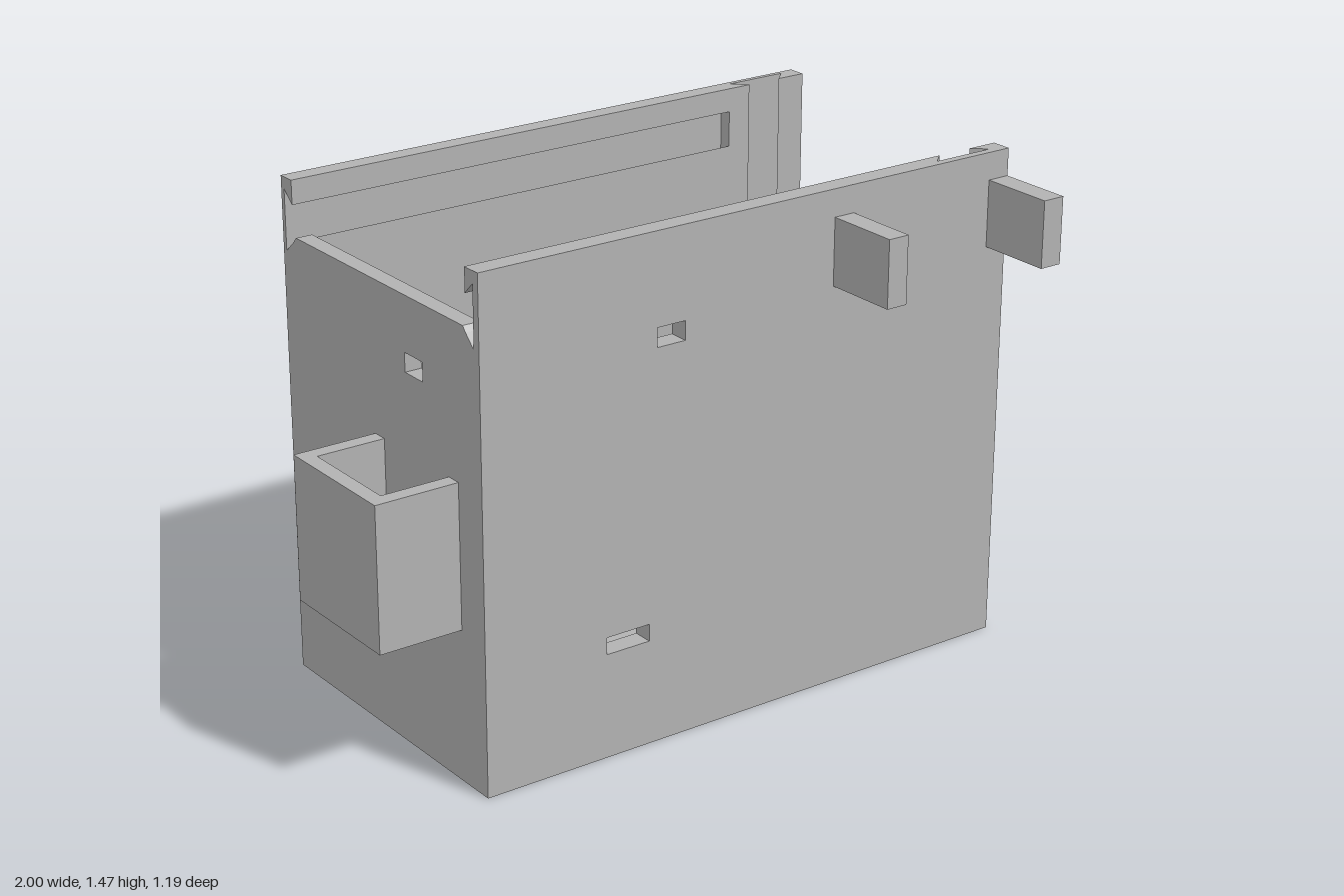
import * as THREE from 'three';

const X0 = -0.75, X1 = 1, TOP = 1.47, FLOOR = 0.06;
const FRONT = { inner: 0.31, deep: 0.346, outer: 0.37 };
const BACK = { inner: -0.54, deep: -0.58, outer: -0.595 };

export function createModel() {
  const model = new THREE.Group();
  const grey = new THREE.MeshStandardMaterial({ color: 0xb2b2b2 });
  grey.name = 'grey plastic';

  const add = (name, geometry) => {
    const mesh = new THREE.Mesh(geometry, grey);
    mesh.name = name;
    model.add(mesh);
    return mesh;
  };
  const box = (name, x0, x1, y0, y1, z0, z1) =>
    add(name, new THREE.BoxGeometry(x1 - x0, y1 - y0, z1 - z0)
      .translate((x0 + x1) / 2, (y0 + y1) / 2, (z0 + z1) / 2));
  const path = (pts, Kind = THREE.Shape) => new Kind(pts.map(p => new THREE.Vector2(...p)));
  const rect = (x0, x1, y0, y1) => [[x0, y0], [x1, y0], [x1, y1], [x0, y1]];
  const extrude = (pts, holes, depth) => {
    const shape = path(pts);
    shape.holes = holes.map(h => path(rect(...h), THREE.Path));
    return new THREE.ExtrudeGeometry(shape, { depth, bevelEnabled: false });
  };

  // Layer of a wall whose edges spread or shrink at the bottom of the grooves
  const layer = (name, pts, holes, zA, zB, moveX = {}, moveY = {}) => {
    const g = extrude(pts, holes, Math.abs(zB - zA)).translate(0, 0, Math.min(zA, zB));
    const p = g.attributes.position;
    const shift = (v, moves) => {
      for (const [from, to] of Object.entries(moves)) if (Math.abs(v - from) < 1e-4) return to;
      return v;
    };
    for (let i = 0; i < p.count; i++) {
      if (Math.abs(p.getZ(i) - zB) < 1e-4) {
        p.setXY(i, shift(p.getX(i), moveX), shift(p.getY(i), moveY));
      }
    }
    g.computeVertexNormals();
    add(name, g);
  };

  // Side wall with a vertical dovetail groove and a sliding-lid slot inside
  const wall = (name, z, holes) => {
    layer(name + 'Panel', rect(X0, X1, FLOOR, TOP), holes, z.deep, z.outer);
    layer(name + 'Lining', [
      [X0, FLOOR], [0.8, FLOOR], [0.8, TOP], [X0, TOP],
      [X0, 1.4], [0.727, 1.4], [0.727, 1.295], [X0, 1.295],
    ], holes, z.inner, z.deep, { 0.8: 0.76 }, { 1.4: 1.435, 1.295: 1.26 });
    layer(name + 'EdgeStrip', rect(0.91, X1, FLOOR, TOP), [], z.inner, z.deep, { 0.91: 0.95 });
  };
  wall('frontWall', FRONT, [[-0.2, -0.11, 1.15, 1.205], [-0.365, -0.225, 0.31, 0.36]]);
  wall('backWall', BACK, []);

  box('floor', X0, X1, 0, FLOOR, BACK.outer, FRONT.outer);

  // End wall with chamfered top corners and a small window (shape x is -z)
  add('endWall', extrude([
    [-0.31, FLOOR], [0.54, FLOOR], [0.54, 1.295], [0.527, 1.31], [-0.297, 1.31], [-0.31, 1.295],
  ], [[-0.1, -0.015, 1.095, 1.15]], 0.05).rotateY(Math.PI / 2).translate(X0, 0, 0));

  // Open-topped pocket on the end wall
  box('pocketOuterWall', -1, -0.955, 0.45, 0.87, -0.145, 0.26);
  box('pocketBackWall', -0.955, X0, 0.45, 0.87, -0.145, -0.1);
  box('pocketFrontWall', -0.955, X0, 0.45, 0.87, 0.215, 0.26);
  box('pocketFloor', -0.955, X0, 0.45, 0.495, -0.1, 0.215);

  // Pegs on the front
  for (const [x0, x1] of [[0.385, 0.45], [0.932, 1]]) {
    box('frontPeg', x0, x1, 1.195, 1.39, FRONT.outer, 0.595);
  }

  // Round studs inside the front wall
  for (const [x, y] of [[-0.53, 0.145], [-0.06, 0.34]]) {
    add('innerStud', new THREE.CylinderGeometry(0.035, 0.035, 0.027, 32)
      .rotateX(Math.PI / 2).translate(x, y, 0.2965));
  }

  return model;
}
